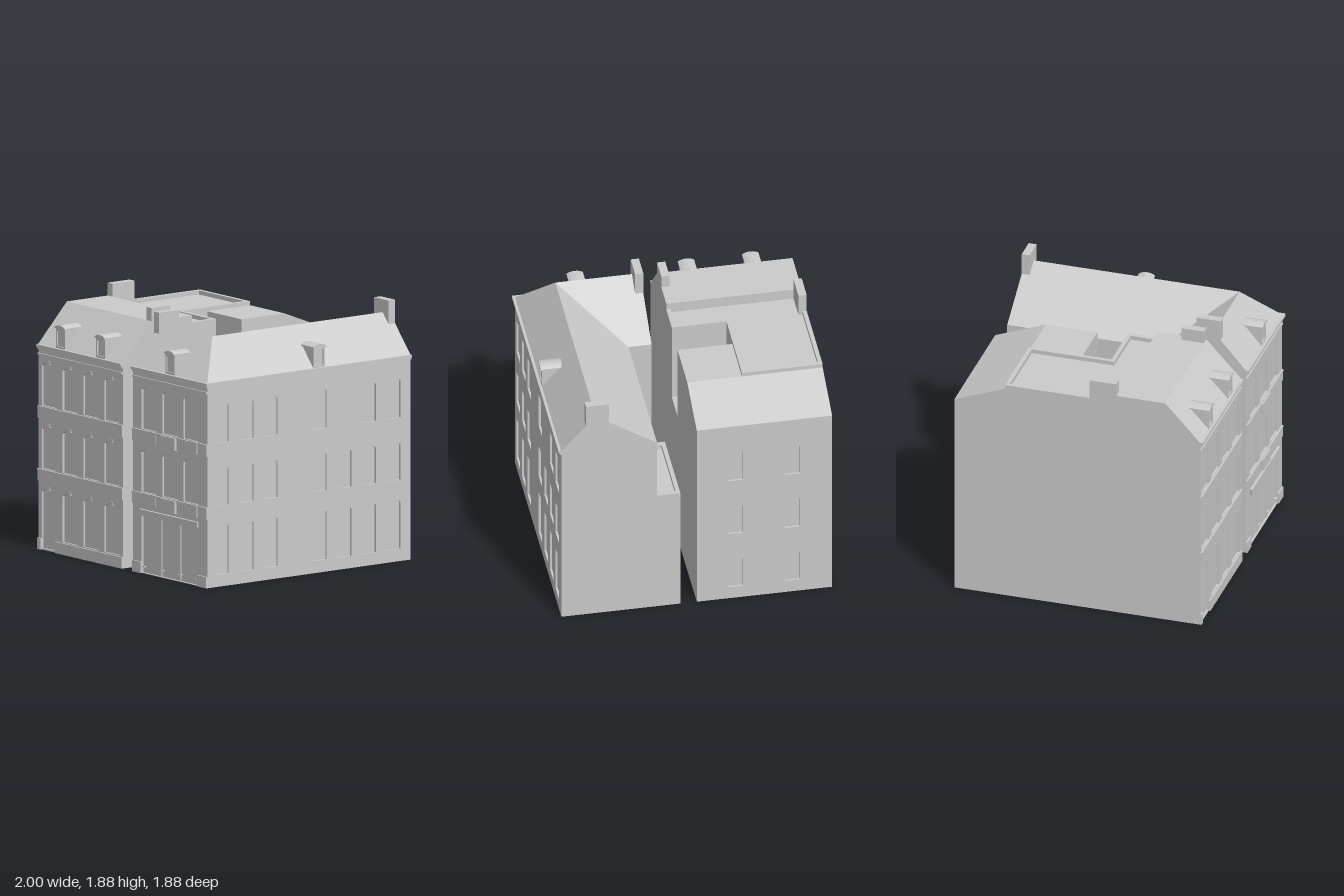
import * as THREE from 'three';

const mat = new THREE.MeshStandardMaterial({ color: 0xcccccc, side: THREE.DoubleSide, flatShading: true });
const RECESS = 0.015;
// Rotation about y, and sign from the world axis (x or z) to the wall's own axis
const SIDES = {
  front: [0, 1], back: [Math.PI, -1], right: [Math.PI / 2, -1], left: [-Math.PI / 2, 1],
};

function add(parent, name, geo) {
  const m = new THREE.Mesh(geo, mat);
  m.name = name;
  parent.add(m);
  return m;
}

// Box given by its limits
function box(parent, name, x0, x1, y0, y1, z0, z1) {
  const m = add(parent, name, new THREE.BoxGeometry(x1 - x0, y1 - y0, z1 - z0));
  m.position.set((x0 + x1) / 2, (y0 + y1) / 2, (z0 + z1) / 2);
  return m;
}

const shapeOf = (pts) => new THREE.Shape(pts.map(([x, y]) => new THREE.Vector2(x, y)));

// Opening with a segmental arch of the given rise
function archShape(u0, u1, y0, y1, rise = 0.03) {
  const s = new THREE.Shape();
  s.moveTo(u0, y0).lineTo(u1, y0).lineTo(u1, y1 - rise);
  if (rise > 0) s.quadraticCurveTo((u0 + u1) / 2, y1 + rise, u0, y1 - rise);
  else s.lineTo(u0, y1);
  s.closePath();
  return s;
}

// Upright wall: outline and openings are in (x or z, y); openings get a set-back pane
function wall(parent, name, side, at, outline, openings = []) {
  const [angle, sign] = SIDES[side];
  const g = new THREE.Group();
  g.name = name;
  const shape = shapeOf(outline.map(([u, y]) => [u * sign, y]));
  const holes = openings.map(([a, b, y0, y1, rise]) =>
    archShape(Math.min(a * sign, b * sign), Math.max(a * sign, b * sign), y0, y1, rise));
  if (holes.length) {
    shape.holes.push(...holes);
    const geo = new THREE.ExtrudeGeometry(shape, { depth: RECESS, bevelEnabled: false, curveSegments: 6 });
    add(g, 'wallSurface', geo.translate(0, 0, -RECESS));
    holes.forEach((h) => add(g, 'windowPane', new THREE.ShapeGeometry(h, 6).translate(0, 0, -RECESS)));
  } else add(g, 'wallSurface', new THREE.ShapeGeometry(shape));
  g.rotation.y = angle;
  g.position[side === 'front' || side === 'back' ? 'z' : 'x'] = at;
  parent.add(g);
}

// Flat plate from an (x, z) outline, reaching down from the given top
function plate(parent, name, pts, top, depth) {
  const geo = new THREE.ExtrudeGeometry(shapeOf(pts), { depth, bevelEnabled: false });
  add(parent, name, geo.rotateX(Math.PI / 2).translate(0, top, 0));
}

// Convex sloping face from its corners
function slope(parent, name, pts) {
  const tris = [];
  for (let i = 1; i < pts.length - 1; i++) tris.push(...pts[0], ...pts[i], ...pts[i + 1]);
  const geo = new THREE.BufferGeometry();
  geo.setAttribute('position', new THREE.Float32BufferAttribute(tris, 3));
  geo.computeVertexNormals();
  add(parent, name, geo);
}

const rect = (u0, u1, y0, y1) => [[u0, y0], [u1, y0], [u1, y1], [u0, y1]];

// Dormer with an arched roof, facing +z before turning
function dormer(parent, x, z, angle) {
  const g = new THREE.Group();
  g.name = 'dormer';
  const body = archShape(-0.052, 0.052, 1.5, 1.66, 0.012);
  const window = archShape(-0.04, 0.04, 1.515, 1.635, 0.01);
  body.holes.push(window);
  const opts = { depth: 0.16, bevelEnabled: false, curveSegments: 6 };
  add(g, 'dormerBody', new THREE.ExtrudeGeometry(body, opts).translate(0, 0, -0.165));
  add(g, 'dormerPane', new THREE.ShapeGeometry(window).translate(0, 0, -0.015));
  const cap = new THREE.Shape();
  cap.moveTo(-0.06, 1.645).lineTo(-0.06, 1.655).quadraticCurveTo(0, 1.69, 0.06, 1.655)
    .lineTo(0.06, 1.645).quadraticCurveTo(0, 1.675, -0.06, 1.645);
  add(g, 'dormerRoof', new THREE.ExtrudeGeometry(cap, opts).translate(0, 0, -0.155));
  g.position.set(x, 0, z);
  g.rotation.y = angle;
  parent.add(g);
}

function chimney(parent, x0, x1, z0, z1, base) {
  box(parent, 'chimney', x0, x1, base, 1.875, z0, z1);
}

// Belts and cornice across a street front
function frontTrim(g, x0, x1) {
  for (const y of [0.5, 0.96]) {
    box(g, 'belt', x0, x1, y, y + 0.09, 0.9, 0.918);
    box(g, 'beltMoulding', x0, x1, y + 0.078, y + 0.09, 0.9, 0.924);
  }
  box(g, 'frieze', x0, x1, 1.42, 1.435, 0.9, 0.92);
  box(g, 'corniceLower', x0, x1, 1.465, 1.48, 0.9, 0.922);
  box(g, 'cornice', x0, x1, 1.48, 1.5, 0.9, 0.933);
}

function leftHouse() {
  const g = new THREE.Group();
  g.name = 'courtHouse';
  const X0 = -1, X1 = -0.01, B = -0.94, F = 0.91, TOP = 1.7, WELL = 1.1;

  // Street front with door and arched windows
  const columns = [[-0.96, -0.79], [-0.715, -0.54], [-0.47, -0.295], [-0.225, -0.05]];
  const openings = columns.flatMap(([a, b], i) => [
    [a, b, i ? 0.09 : 0.012, 0.455], [a, b, 0.595, 0.915], [a, b, 1.055, 1.375]]);
  wall(g, 'streetWall', 'front', F, rect(X0, X1, 0, 1.5), openings);
  frontTrim(g, X0, X1);
  box(g, 'plinth', X0, -0.96, 0, 0.083, 0.9, 0.922);
  box(g, 'plinth', -0.79, X1, 0, 0.083, 0.9, 0.922);
  for (const [a, b] of columns) for (const y of [0.455, 0.915, 1.375])
    box(g, 'keystone', (a + b) / 2 - 0.01, (a + b) / 2 + 0.01, y - 0.012, y + 0.015, 0.9, 0.915);

  // Back wall
  const rear = [-0.71, -0.29].flatMap((x) => [0.1, 0.58, 1.06].map((y) => [x - 0.055, x + 0.055, y, y + 0.25, 0]));
  wall(g, 'backWall', 'back', B, rect(X0, X1, 0, 1.55), rear);

  // Party walls; the inner one is cut by the light well
  const head = [[B, 0], [F, 0], [F, 1.5], [0.65, 1.78], [0.28, 1.78], [0.28, TOP]];
  const tail = [[-0.56, TOP], [B, 1.55]];
  wall(g, 'outerPartyWall', 'left', X0, [...head, ...tail]);
  wall(g, 'innerPartyWall', 'right', X1, [...head, [0.06, TOP], [0.06, WELL], [-0.17, WELL], [-0.17, TOP], ...tail]);

  // Light well
  wall(g, 'wellWall', 'back', 0.06, rect(-0.41, X1, WELL, TOP));
  wall(g, 'wellWall', 'front', -0.17, rect(-0.41, X1, WELL, TOP));
  wall(g, 'wellWall', 'right', -0.41, rect(-0.17, 0.06, WELL, TOP));
  plate(g, 'wellFloor', rect(-0.41, X1, -0.17, 0.06), WELL, 0.005);

  // Roofs
  slope(g, 'frontRoof', [[X0, 1.5, F], [X1, 1.5, F], [X1, 1.78, 0.65], [X0, 1.78, 0.65]]);
  slope(g, 'backRoof', [[X1, 1.55, B], [X0, 1.55, B], [X0, TOP, -0.56], [X1, TOP, -0.56]]);
  plate(g, 'upperRoof', rect(X0, X1, 0.28, 0.65), 1.78, 0.005);
  wall(g, 'roofStep', 'back', 0.28, rect(X0, X1, TOP, 1.78));
  plate(g, 'terrace', [[X0, -0.56], [-0.41, -0.56], [-0.41, 0.06], [X1, 0.06], [X1, 0.28], [X0, 0.28]], TOP, 0.005);
  plate(g, 'wingRoof', rect(-0.41, X1, -0.56, -0.17), TOP, 0.005);
  plate(g, 'terraceRim', [[X0, 0.28], [X0, -0.56], [-0.41, -0.56], [-0.41, 0.06], [X1, 0.06], [X1, 0.28],
    [-0.04, 0.28], [-0.04, 0.09], [-0.44, 0.09], [-0.44, -0.53], [-0.97, -0.53], [-0.97, 0.28]], 1.73, 0.03);

  for (const x of [-0.74, -0.27]) dormer(g, x, 0.915, 0);
  chimney(g, X0, -0.94, 0.08, 0.28, 1.68);
  chimney(g, -0.07, X1, 0.48, 0.65, 1.75);
  return g;
}

function cornerHouse() {
  const g = new THREE.Group();
  g.name = 'cornerHouse';
  const X0 = 0.11, XC = 0.28, X1 = 0.98, B = -0.94, F = 0.91, EAVE = 1.48;

  // Street front with shop recess below
  const columns = [[0.21, 0.385], [0.455, 0.63], [0.7, 0.875]];
  wall(g, 'streetWall', 'front', F, rect(X0, X1, 0, 1.5), [[0.21, 0.87, 0.005, 0.425, 0],
    ...columns.flatMap(([a, b]) => [[a, b, 0.595, 0.915], [a, b, 1.055, 1.375]])]);
  frontTrim(g, X0, X1);
  box(g, 'plinth', X0, 0.21, 0, 0.083, 0.9, 0.922);
  box(g, 'plinth', 0.87, X1, 0, 0.083, 0.9, 0.922);
  plate(g, 'shopCanopy', [[0.21, 0.9], [0.87, 0.9], [0.885, 0.93], [0.2, 0.93]], 0.47, 0.045);
  for (const x of [0.43, 0.65]) box(g, 'shopPost', x - 0.006, x + 0.006, 0, 0.425, 0.89, 0.903);
  for (const x of [0.23, 0.445, 0.655, 0.85]) box(g, 'shopSill', x - 0.017, x + 0.017, 0.045, 0.053, 0.89, 0.912);
  for (const y of [0.5, 0.96]) columns.forEach(([a, b], i) => {
    const d = i === 1 ? 0.01 : 0;
    box(g, 'balconyPanel', a, b, y - d + 0.005, y + 0.085, 0.9, 0.925 + d);
  });

  // Long side wall
  const z = [0.787, 0.56, 0.34, -0.105, -0.33, -0.555, -0.778];
  const openings = z.flatMap((c, i) => [[0.09, 0.455], [0.595, 0.875], [1.05, 1.34]]
    .filter((_, floor) => !(floor === 2 && i === 4))
    .map(([a, b]) => [c - 0.071, c + 0.071, a, b, 0.017]));
  wall(g, 'sideWall', 'right', X1, rect(B, F, 0, 1.5), openings);
  box(g, 'sideCorniceLower', X1 - 0.01, 0.99, 1.465, 1.48, B, 0.922);
  box(g, 'sideCornice', X1 - 0.01, 1, 1.48, 1.5, B, 0.933);

  // Back gable, party walls and yard walls
  wall(g, 'backGable', 'back', B,
    [[X0, 0], [X1, 0], [X1, 1.5], [0.73, 1.78], [XC, EAVE], [XC, 1], [X0, 1]]);
  wall(g, 'partyWall', 'left', X0, [[0.21, 0], [F, 0], [F, 1.5], [0.67, 1.78], [0.21, EAVE]]);
  wall(g, 'annexWall', 'left', X0, rect(B, -0.32, 0, 1));
  wall(g, 'annexEnd', 'front', -0.32, rect(X0, XC, 0, 1));
  wall(g, 'yardEnd', 'back', 0.21, rect(X0, XC, 0, EAVE));
  wall(g, 'yardWall', 'left', XC,
    [[-0.32, 0], [0.21, 0], [0.21, EAVE], [B, EAVE], [B, 0.96], [-0.32, 0.96]],
    [[-0.16, -0.03, 0.1, 0.43, 0], [-0.01, 0.12, 0.1, 0.43, 0], [-0.16, -0.03, 0.6, 0.87, 0], [-0.01, 0.12, 0.6, 0.87, 0],
      ...[-0.8, -0.6, -0.1, 0.06].map((c) => [c - 0.065, c + 0.065, 1.1, 1.38, 0])]);

  // Annex roof with rim
  plate(g, 'annexRoof', rect(X0, XC, B, -0.32), 0.97, 0.005);
  plate(g, 'annexRim', [[XC, B], [X0, B], [X0, -0.32], [XC, -0.32], [XC, -0.355],
    [0.14, -0.355], [0.14, -0.91], [XC, -0.91]], 1, 0.03);

  // Hipped roof with inner valley
  const hip = [0.73, 1.78, 0.67], valley = [XC, EAVE, 0.21];
  slope(g, 'frontRoof', [[X0, 1.5, F], [X1, 1.5, F], hip, [X0, 1.78, 0.67]]);
  slope(g, 'sideRoof', [[X1, 1.5, F], [X1, 1.5, B], [0.73, 1.78, B], hip]);
  slope(g, 'yardRoof', [[X0, 1.78, 0.67], hip, valley, [X0, EAVE, 0.21]]);
  slope(g, 'yardSideRoof', [hip, [0.73, 1.78, B], [XC, EAVE, B], valley]);

  dormer(g, 0.543, 0.915, 0);
  dormer(g, 0.985, -0.108, Math.PI / 2);
  chimney(g, X0, 0.17, 0.54, 0.72, 1.7);
  chimney(g, 0.63, 0.8, B, -0.88, 1.7);
  return g;
}

export function createModel() {
  const model = new THREE.Group();
  model.name = 'townHouses';
  model.add(leftHouse(), cornerHouse());
  return model;
}
